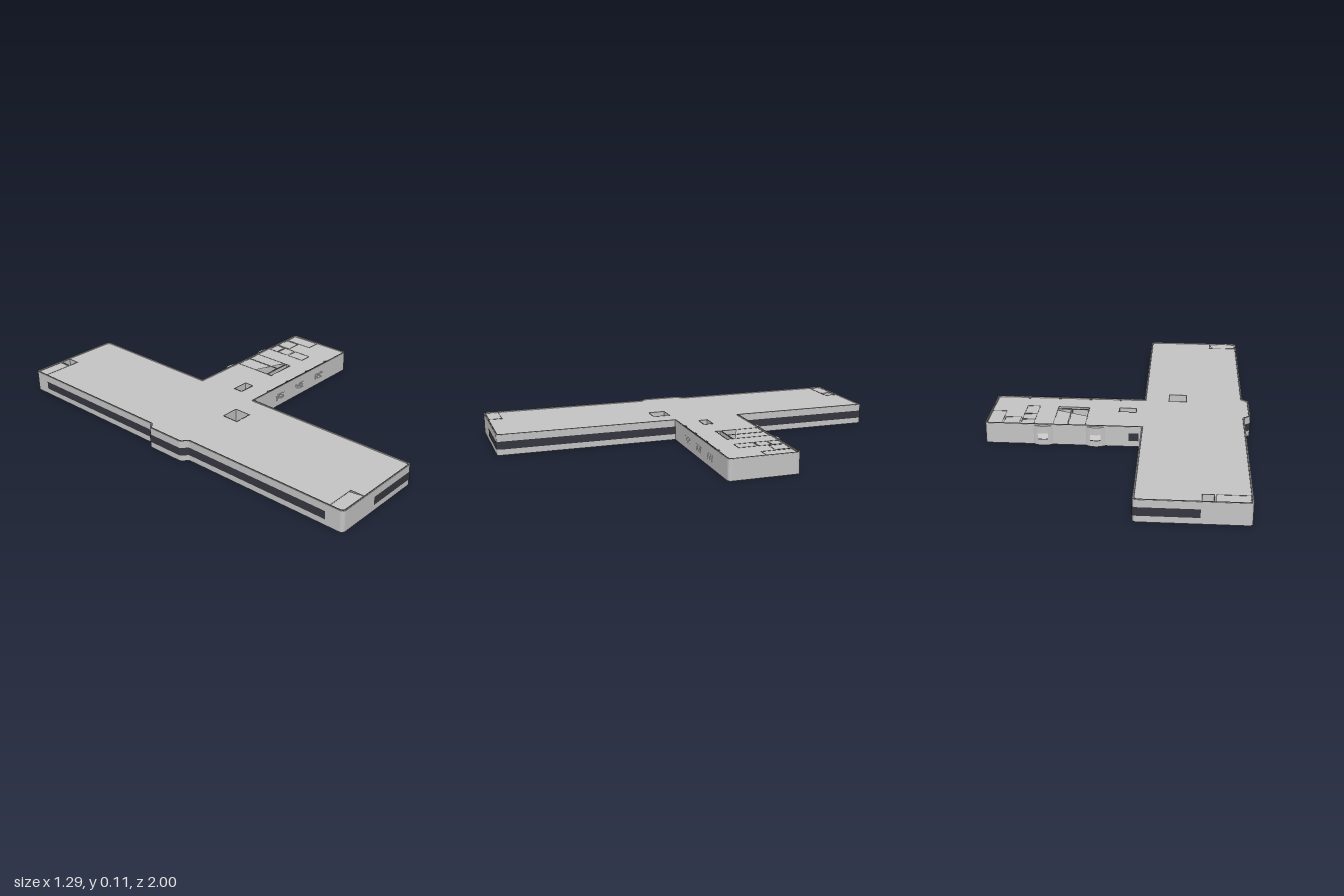
import * as THREE from 'three';

const mat = (name, color, extra = {}) =>
  Object.assign(new THREE.MeshStandardMaterial({ color, ...extra }), { name });

// Footprint corners [x, z, corner radius]: long bar, side wing and shallow bay
const FOOTPRINT = [
  [-0.617, -1, 0.02], [-0.117, -1, 0.02], [-0.117, -0.27, 0], [0.645, -0.27, 0.02],
  [0.645, 0.085, 0.02], [-0.117, 0.085, 0], [-0.117, 1, 0.02], [-0.617, 1, 0.02],
  [-0.617, 0.125, 0.008], [-0.648, 0.1, 0.012], [-0.648, -0.1, 0.012], [-0.617, -0.125, 0.008],
];

// Path moved inward by d, with rounded corners
function offsetPath(corners, d, closed) {
  const n = corners.length;
  const P = corners.map(([x, z]) => new THREE.Vector2(x, z));
  const normal = (a, b) => {
    const v = b.clone().sub(a).normalize();
    return new THREE.Vector2(-v.y, v.x);
  };
  const Q = P.map((p, i) => {
    const first = !closed && i === 0, last = !closed && i === n - 1;
    const n2 = last ? normal(P[i - 1], p) : normal(p, P[(i + 1) % n]);
    const n1 = first ? n2 : normal(P[(i - 1 + n) % n], p);
    return p.clone().addScaledVector(n1.clone().add(n2), d / (1 + n1.dot(n2)));
  });
  const out = [];
  Q.forEach((q, i) => {
    const r = corners[i][2];
    if (!r || (!closed && (i === 0 || i === n - 1))) return out.push(q);
    const toward = (t) => q.clone().addScaledVector(t.clone().sub(q).normalize(), r);
    const curve = new THREE.QuadraticBezierCurve(toward(Q[(i - 1 + n) % n]), q, toward(Q[(i + 1) % n]));
    out.push(...curve.getPoints(6));
  });
  return out;
}

const rectPath = ([x0, x1, z0, z1], g = 0) => [
  new THREE.Vector2(x0 - g, z0 - g), new THREE.Vector2(x1 + g, z0 - g),
  new THREE.Vector2(x1 + g, z1 + g), new THREE.Vector2(x0 - g, z1 + g),
];

// Plan outline with holes, raised from y0 to y1
function raise(outline, holes, y0, y1) {
  const shape = new THREE.Shape(outline);
  holes.forEach((h) => shape.holes.push(new THREE.Path(h)));
  const geo = new THREE.ExtrudeGeometry(shape, { depth: y1 - y0, bevelEnabled: false });
  return geo.rotateX(Math.PI / 2).translate(0, y1, 0);
}

// Upright strip following a plan path
function ribbon(path, y0, y1) {
  const pos = [];
  for (let i = 0; i < path.length - 1; i++) {
    const a = path[i], b = path[i + 1];
    pos.push(a.x, y0, a.y, a.x, y1, a.y, b.x, y1, b.y, a.x, y0, a.y, b.x, y1, b.y, b.x, y0, b.y);
  }
  const geo = new THREE.BufferGeometry();
  geo.setAttribute('position', new THREE.Float32BufferAttribute(pos, 3));
  geo.computeVertexNormals();
  return geo;
}

export function createModel() {
  const group = new THREE.Group();
  const concrete = mat('concrete', 0xc4c4c4);
  const edge = mat('wallEdge', 0x707070);
  const glass = mat('darkGlass', 0x363640, { side: THREE.DoubleSide });
  const pale = mat('paleGrille', 0xe4e4e4);
  const add = (name, geo, material) => {
    const mesh = new THREE.Mesh(geo, material);
    mesh.name = name;
    group.add(mesh);
  };
  const box = (name, [x0, x1, y0, y1, z0, z1], material) =>
    add(name, new THREE.BoxGeometry(x1 - x0, y1 - y0, z1 - z0)
      .translate((x0 + x1) / 2, (y0 + y1) / 2, (z0 + z1) / 2), material);

  const outer = offsetPath(FOOTPRINT, 0, true);
  const inner = offsetPath(FOOTPRINT, 0.008, true);

  // Base, outer wall and its dark coping
  add('basePlate', raise(outer, [], 0, 0.008), concrete);
  add('outerWall', raise(outer, [inner], 0.008, 0.104), concrete);
  add('wallCoping', raise(offsetPath(FOOTPRINT, 0.002, true), [offsetPath(FOOTPRINT, 0.007, true)],
    0.104, 0.1055), edge);

  // Upper slab with open shafts and rooms [x0, x1, z0, z1]
  const openings = [
    [-0.605, -0.465, -0.988, -0.928], [-0.455, -0.405, -0.988, -0.928],
    [-0.605, -0.463, 0.925, 0.988],
    [-0.33, -0.243, 0.078, 0.162],
    [-0.08, 0.003, -0.078, -0.032],
    [0.158, 0.238, -0.258, -0.068], [0.246, 0.312, -0.258, -0.068], [0.158, 0.312, -0.06, -0.038],
    [0.41, 0.47, -0.258, -0.208], [0.41, 0.47, -0.198, -0.138], [0.41, 0.47, -0.128, -0.035],
    [0.482, 0.555, -0.258, -0.182],
    [0.567, 0.633, -0.258, -0.108],
  ];
  add('upperSlab', raise(inner, openings.map((r) => rectPath(r)), 0.008, 0.1), concrete);
  openings.forEach((r) =>
    add('openingEdge', raise(rectPath(r, 0.0035), [rectPath(r)], 0.1, 0.1012), edge));

  // Slender posts inside the large wing opening
  for (let x = 0.17; x < 0.31; x += 0.02) {
    if (Math.abs(x - 0.242) < 0.01) continue;
    box('shaftPost', [x, x + 0.005, 0.008, 0.098, -0.257, -0.251], edge);
  }
  // Column heads along the wing
  [0.01, 0.16, 0.32, 0.48].forEach((x) =>
    box('columnHead', [x - 0.007, x + 0.007, 0.1, 0.1025, 0.066, 0.077], edge));

  // Window bands wrapping the bar and the bay
  const bands = [
    [[-0.4, -1, 0], [-0.117, -1, 0.02], [-0.117, -0.27, 0]],
    [[-0.117, 0.085, 0], [-0.117, 1, 0.02], [-0.4, 1, 0]],
    [[-0.617, 0.91, 0], ...FOOTPRINT.slice(8), [-0.617, -0.91, 0]],
    [[-0.105, -0.27, 0], [-0.055, -0.27, 0]],
  ];
  bands.forEach((b) => add('windowBand', ribbon(offsetPath(b, -0.002, false), 0.03, 0.07), glass));
  box('wingGlassHead', [0, 0.48, 0.1055, 0.1062, 0.077, 0.084], glass);

  // Curved bays with pale panes on the back of the wing
  [0.105, 0.36].forEach((cx) => {
    const arc = [];
    for (let i = 0; i <= 12; i++) {
      const t = i / 6 - 1;
      arc.push(new THREE.Vector2(cx + t * 0.05, -0.268 - 0.018 * (1 - t * t)));
    }
    add('curvedBay', raise(arc, [], 0, 0.1), concrete);
    const pane = arc.slice(3, 10).map((p) => new THREE.Vector2(p.x, p.y - 0.0015));
    add('bayPane', ribbon(pane, 0.035, 0.062), pale);
    add('baySill', ribbon(pane, 0.03, 0.035), glass);
  });

  // Slatted grilles on the front of the wing
  [0.085, 0.245, 0.405].forEach((cx) => {
    for (let i = 0; i < 5; i++) {
      const half = i > 2 ? 0.035 : 0.028, y = 0.032 + i * 0.007;
      box('grilleSlat', [cx - half, cx + half, y, y + 0.0035, 0.085, 0.0865], pale);
    }
  });
  return group;
}
